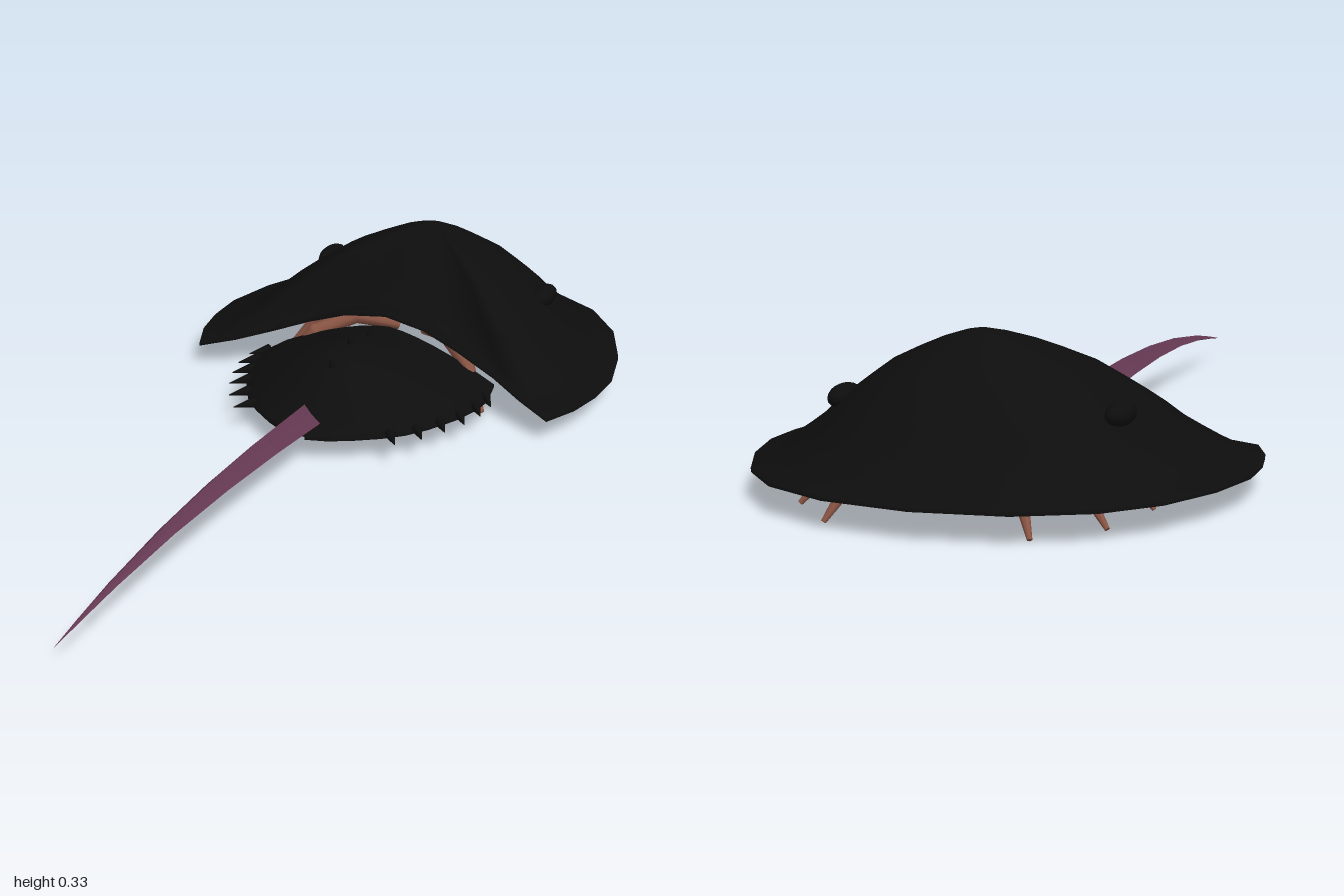
import * as THREE from 'three';

const mat = (name, color, side = THREE.FrontSide) => {
  const m = new THREE.MeshStandardMaterial({ color, side });
  m.name = name;
  return m;
};

// Piecewise linear lookup in a list of [t, value]
function lookup(table, t) {
  for (let i = 1; i < table.length; i++) {
    const [t0, v0] = table[i - 1], [t1, v1] = table[i];
    if (t <= t1) return v0 + (v1 - v0) * (t - t0) / (t1 - t0);
  }
  return table[table.length - 1][1];
}

// Skin a list of rows of points
function skin(rows, closed) {
  const n = rows[0].length, index = [];
  for (let i = 0; i < rows.length - 1; i++) {
    for (let j = 0; j < (closed ? n : n - 1); j++) {
      const k = (j + 1) % n;
      const a = i * n + j, b = a + n, c = (i + 1) * n + k, d = i * n + k;
      index.push(a, b, c, a, c, d);
    }
  }
  const g = new THREE.BufferGeometry();
  g.setAttribute('position', new THREE.Float32BufferAttribute(rows.flat(2), 3));
  g.setIndex(index);
  g.computeVertexNormals();
  return g;
}

// Tapered round bar between two points
function bar(p, q, r0, r1, material, sides = 8) {
  const a = new THREE.Vector3(...p), b = new THREE.Vector3(...q);
  const dir = b.clone().sub(a);
  const m = new THREE.Mesh(new THREE.CylinderGeometry(r1, r0, dir.length(), sides), material);
  m.position.copy(a).add(b).multiplyScalar(0.5);
  m.quaternion.setFromUnitVectors(new THREE.Vector3(0, 1, 0), dir.normalize());
  return m;
}

export function createModel() {
  const model = new THREE.Group();
  const shell = mat('shellBlack', 0x0d0d0d, THREE.DoubleSide);
  const plum = mat('tailPlum', 0x643852);
  const gillPlum = mat('gillPlum', 0x4f2b45);
  const brown = mat('legBrown', 0x8a5544);
  const add = (geo, material, name, parent = model) => {
    const m = new THREE.Mesh(geo, material);
    m.name = name;
    parent.add(m);
    return m;
  };

  // Front shield: half outline as x, z, edge height, steepness
  const half = [
    [0, -1, 0.064, 1], [0.18, -0.975, 0.064, 1], [0.32, -0.905, 0.064, 1],
    [0.41, -0.805, 0.063, 1], [0.47, -0.675, 0.062, 1], [0.5, -0.55, 0.062, 1],
    [0.497, -0.45, 0.062, 1], [0.48, -0.365, 0.062, 1], [0.445, -0.285, 0.062, 1],
    [0.365, -0.32, 0.08, 1.05], [0.285, -0.355, 0.105, 1.12],
    [0.19, -0.366, 0.145, 1.2], [0.1, -0.375, 0.176, 1.25], [0, -0.38, 0.19, 1.27],
  ];
  const outline = [
    ...half.map(([x, z, y, s]) => [-x, z, y, s]),
    ...half.slice(1, -1).reverse(),
  ];
  const dome = [[0, 1], [0.1, 0.96], [0.22, 0.88], [0.4, 0.72], [0.54, 0.54], [0.64, 0.4],
    [0.72, 0.27], [0.84, 0.115], [0.92, 0.03], [1, 0]];
  const radii = [0, 0.08, 0.18, 0.28, 0.4, 0.5, 0.58, 0.65, 0.72, 0.79, 0.86, 0.92, 1];
  const rows = radii.map(r => outline.map(([x, z, y, s]) =>
    [x * r, y + (0.33 - y) * lookup(dome, Math.min(1, r * s)), -0.64 + (z + 0.64) * r]));
  rows.push(outline.map(([x, z, y]) => [x, y - 0.008, z])); // rim lip
  add(skin(rows, true), shell, 'frontShield');

  // Rear shield: z, half width, ridge height
  const sections = [
    [-0.4, 0.27, 0.15], [-0.32, 0.288, 0.157], [-0.27, 0.284, 0.175], [-0.2, 0.264, 0.187],
    [-0.13, 0.23, 0.176], [-0.08, 0.197, 0.15], [-0.04, 0.155, 0.105], [0, 0.1, 0.075],
    [0.025, 0.055, 0.064], [0.04, 0.01, 0.06],
  ];
  add(skin(sections.map(([z, w, h]) => {
    const row = [[-w, 0.053, z]];
    for (let i = -7; i <= 7; i++) {
      const u = i / 7;
      row.push([u * w, 0.06 + (h - 0.06) * (1 - Math.abs(u) ** 1.5), z]);
    }
    row.push([w, 0.053, z]);
    return row;
  })), shell, 'rearShield');

  // Small spines along the ridge
  for (const [z, y] of [[-0.2, 0.18], [-0.11, 0.16], [-0.3, 0.155]]) {
    const spine = bar([0, y, z - 0.008], [0, y + 0.026, z + 0.008], 0.013, 0.001, shell, 6);
    spine.name = 'ridgeSpine';
    model.add(spine);
  }

  // Legs by tip x, tip z, root z
  const legs = [[0.2, -0.925, -0.71], [0.305, -0.81, -0.67], [0.34, -0.64, -0.62],
    [0.305, -0.47, -0.57], [0.26, -0.36, -0.53]];
  const widthAt = sections.map(([z, w]) => [z, w]);
  for (const side of [1, -1]) {
    const tag = side > 0 ? 'left' : 'right';

    const eye = add(new THREE.SphereGeometry(1, 14, 10), shell, tag + 'Eye');
    eye.scale.set(0.027, 0.024, 0.055);
    eye.position.set(side * 0.28, 0.185, -0.66);

    for (const z of [-0.33, -0.275, -0.22, -0.165, -0.11, -0.06]) {
      const x = lookup(widthAt, z) - 0.008;
      const spine = bar([side * x, 0.062, z], [side * (x + 0.032), 0.06, z + 0.042], 0.013, 0.001, shell, 6);
      spine.name = tag + 'EdgeSpine';
      model.add(spine);
    }

    for (const [tx, tz, rz] of legs) {
      const leg = new THREE.Group();
      leg.name = tag + 'Leg';
      const at = (t, y) => [side * (0.035 + (tx - 0.035) * t), y, rz + (tz - rz) * t];
      const path = [at(0, 0.1), at(0.38, 0.13), at(0.72, 0.095), at(1, 0.004)];
      const r = [0.014, 0.019, 0.018, 0.005];
      for (let i = 0; i < 3; i++) {
        leg.add(bar(path[i], path[i + 1], i === 1 ? 0.021 : r[i], r[i + 1], brown));
        if (i) {
          const joint = add(new THREE.SphereGeometry(0.019, 8, 6), brown, 'knee', leg);
          joint.position.set(...path[i]);
        }
      }
      model.add(leg);
    }

    const pincer = bar([side * 0.025, 0.1, -0.71], [side * 0.045, 0.08, -0.8], 0.012, 0.004, brown);
    pincer.name = tag + 'Pincer';
    model.add(pincer);
  }

  // Mouth
  const mouth = add(new THREE.SphereGeometry(1, 12, 8), shell, 'mouth');
  mouth.scale.set(0.04, 0.03, 0.11);
  mouth.position.set(0, 0.115, -0.62);

  // Overlapping gill plates under the rear shield
  const gillWidth = [[0, 0.15], [1, 0.185], [2, 0.18], [3, 0.165], [4, 0.145], [5, 0.115]];
  for (const [i, w] of gillWidth) {
    const plate = add(new THREE.BoxGeometry(w * 2, 0.008, 0.058), gillPlum, 'gillPlate');
    plate.position.set(0, 0.07, -0.325 + i * 0.05);
    plate.rotation.x = 0.14;
  }

  // Keeled tail spike: z, centre height, size
  const tailRows = [[0.02, 0.1, 0], [0.02, 0.1, 1], [0.2, 0.108, 0.86], [0.4, 0.11, 0.68],
    [0.6, 0.103, 0.48], [0.8, 0.085, 0.27], [0.92, 0.068, 0.12], [1, 0.055, 0.01]];
  const keel = [[0, 0.028], [0.016, 0.009], [0.038, -0.01], [0.014, -0.017],
    [0, -0.022], [-0.014, -0.017], [-0.038, -0.01], [-0.016, 0.009]];
  const tail = skin(tailRows.map(([z, y, s]) => keel.map(([kx, ky]) => [kx * s, y + ky * s, z])), true)
    .toNonIndexed();
  tail.computeVertexNormals();
  add(tail, plum, 'tailSpike');

  return model;
}
